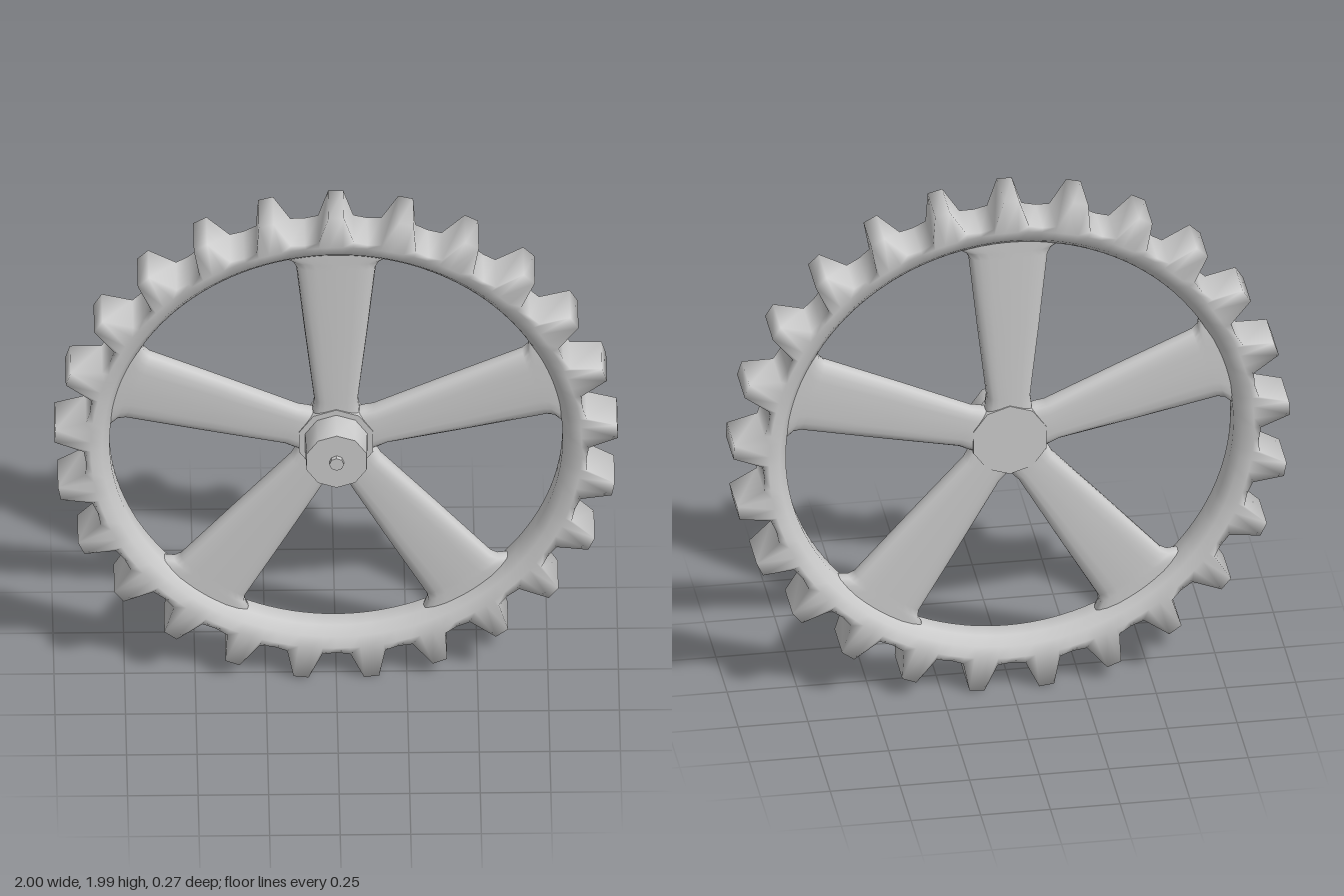
import * as THREE from 'three';
import { toCreasedNormals } from 'three/addons/utils/BufferGeometryUtils.js';

const MID = -0.05; // z of the wheel's middle plane
const TEETH = 25, SPOKES = 5;

// Skins a list of equal-length closed cross-sections
function loft(sections, closed) {
  const n = sections[0].length, m = sections.length, index = [];
  for (let i = 0; i < (closed ? m : m - 1); i++) {
    for (let j = 0; j < n; j++) {
      const a = i * n + j, b = i * n + (j + 1) % n;
      const k = ((i + 1) % m) * n, c = k + j, d = k + (j + 1) % n;
      index.push(a, b, c, b, d, c);
    }
  }
  const g = new THREE.BufferGeometry();
  g.setAttribute('position', new THREE.Float32BufferAttribute(sections.flat(2), 3));
  g.setIndex(index);
  g.computeVertexNormals();
  return g;
}

// Ring with a rounded inner side and trapezoid teeth
function rimGeometry() {
  const tooth = [[-0.07, 0.895], [-0.027, 0.9995], [0.027, 0.9995], [0.07, 0.895], [Math.PI / TEETH, 0.888]];
  const inner = [[0.87, 0.083], [0.83, 0.07], [0.803, 0.035]];
  const sections = [];
  for (let t = 0; t < TEETH; t++) {
    for (const [da, R] of tooth) {
      const a = t * 2 * Math.PI / TEETH + da;
      const half = [[R, 0.085], ...inner];
      const profile = [...half, ...half.map(([r, z]) => [r, -z]).reverse()];
      sections.push(profile.map(([r, z]) => [r * Math.sin(a), r * Math.cos(a), z]));
    }
  }
  return loft(sections, true);
}

// Tapered spoke with rounded edges, flared where it meets hub and rim
function spokeGeometry() {
  const stations = [[0.09, 0.085], [0.13, 0.083], [0.165, 0.078], [0.45, 0.111],
    [0.74, 0.142], [0.765, 0.155], [0.79, 0.2], [0.83, 0.21]];
  const soft = (v, e) => Math.sign(v) * Math.abs(v) ** e;
  return loft(stations.map(([y, w]) => Array.from({ length: 20 }, (_, j) => {
    const t = j * Math.PI / 10;
    return [w * soft(Math.sin(t), 0.6), y, 0.042 * soft(Math.cos(t), 0.6)];
  })), false);
}

// Ten-sided disc lying along z between two depths
function disc(rFront, rBack, z0, z1, sides) {
  const g = new THREE.CylinderGeometry(rFront, rBack, z1 - z0, sides);
  g.rotateX(Math.PI / 2);
  g.translate(0, 0, (z0 + z1) / 2);
  return toCreasedNormals(g, 0.7);
}

export function createModel() {
  const model = new THREE.Group();
  model.name = 'sprocketWheel';
  const material = new THREE.MeshStandardMaterial({ color: 0xcccccc });
  const add = (name, geometry, z = 0) => {
    const mesh = new THREE.Mesh(geometry, material);
    mesh.name = name;
    mesh.position.set(0, 1, z);
    model.add(mesh);
    return mesh;
  };

  add('toothedRim', rimGeometry(), MID);

  const spoke = spokeGeometry();
  for (let i = 0; i < SPOKES; i++) {
    add('spoke' + (i + 1), spoke, MID).rotation.z = i * 2 * Math.PI / SPOKES;
  }

  // Hub, axle boss and centre pin
  add('hub', disc(0.138, 0.138, -0.096, -0.004, 10));
  add('axleBoss', disc(0.112, 0.116, -0.01, 0.118, 10));
  add('axlePin', disc(0.026, 0.026, 0.11, 0.135, 8));
  return model;
}
